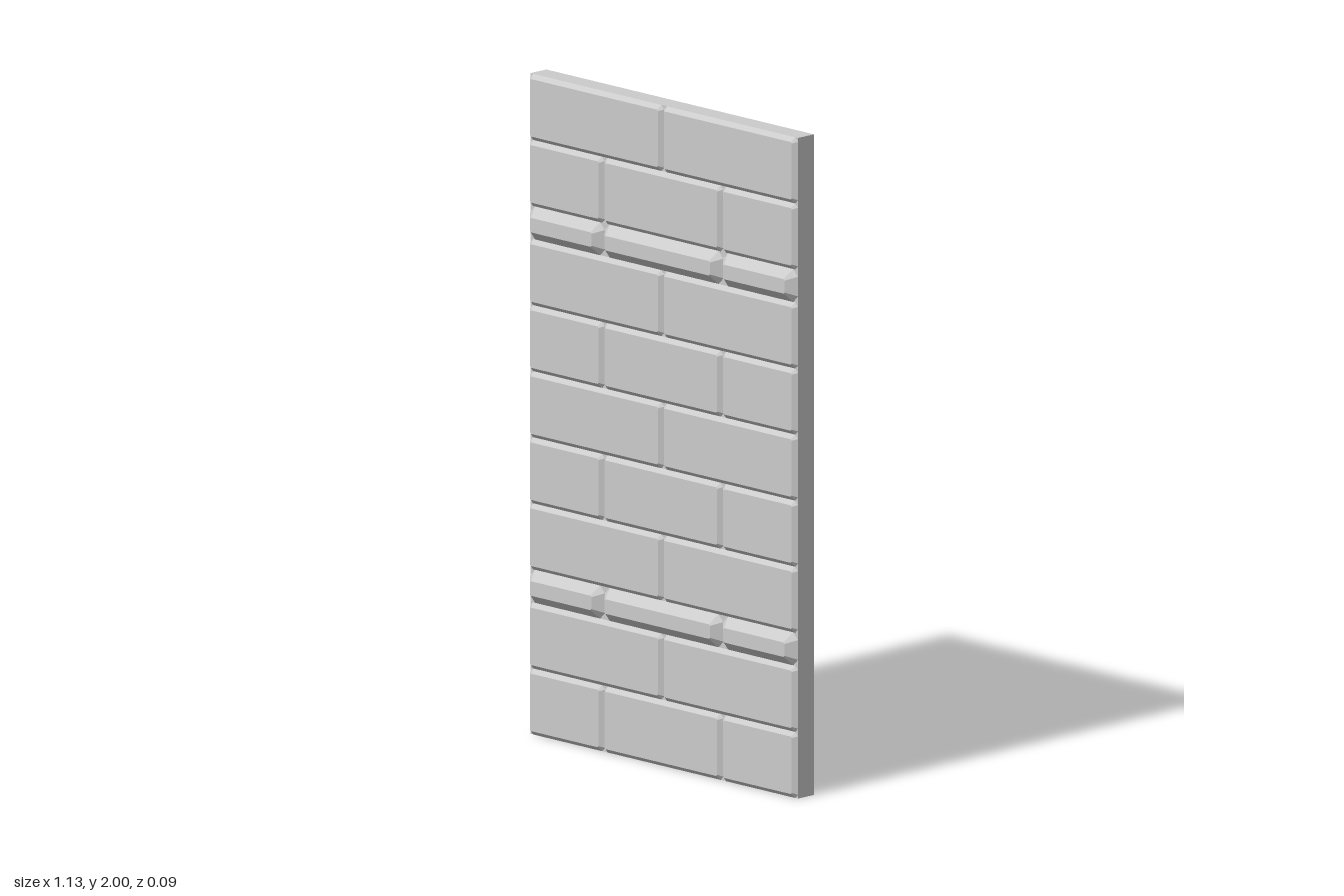
import * as THREE from 'three';

const HALF_WIDTH = 0.565;
const SLAB_BACK = -0.048;
const SLAB_FRONT = 0.017;

const material = new THREE.MeshStandardMaterial({ color: 0xcccccc, flatShading: true });

// Bevelled brick standing out of the slab; its rear half is sunk into the slab
function makeBrick(name, x0, x1, y0, y1, bevel) {
  const w = (x1 - x0) / 2 - bevel;
  const h = (y1 - y0) / 2 - bevel;
  const c = 0.004; // clipped corners
  const outline = new THREE.Shape([
    [w, -h + c], [w, h - c], [w - c, h], [-w + c, h],
    [-w, h - c], [-w, -h + c], [-w + c, -h], [w - c, -h],
  ].map(([x, y]) => new THREE.Vector2(x, y)));
  const geometry = new THREE.ExtrudeGeometry(outline, {
    depth: 0.001, bevelEnabled: true, bevelSegments: 1, bevelSize: bevel, bevelThickness: bevel,
  });
  const brick = new THREE.Mesh(geometry, material);
  brick.name = name;
  brick.position.set((x0 + x1) / 2, (y0 + y1) / 2, SLAB_FRONT);
  return brick;
}

export function createModel() {
  const wall = new THREE.Group();
  wall.name = 'brickWall';

  // Backing slab
  const slab = new THREE.Mesh(
    new THREE.BoxGeometry(HALF_WIDTH * 2, 2, SLAB_FRONT - SLAB_BACK), material);
  slab.name = 'backingSlab';
  slab.position.set(0, 1, (SLAB_FRONT + SLAB_BACK) / 2);
  wall.add(slab);

  // Courses from the bottom up: 3 = three bricks, 2 = two bricks, T = thin raised trim
  const joints = {
    3: [-HALF_WIDTH, -0.25, 0.25, HALF_WIDTH],
    2: [-HALF_WIDTH, 0, HALF_WIDTH],
  };
  let y = 0;
  for (const course of '32T23232T32') {
    const trim = course === 'T';
    const height = trim ? 0.1 : 0.2;
    const xs = joints[trim ? 3 : course];
    for (let i = 0; i < xs.length - 1; i++) {
      wall.add(makeBrick(trim ? 'trimBrick' : 'brick',
        xs[i], xs[i + 1], y, y + height, trim ? 0.028 : 0.013));
    }
    y += height;
  }
  return wall;
}
